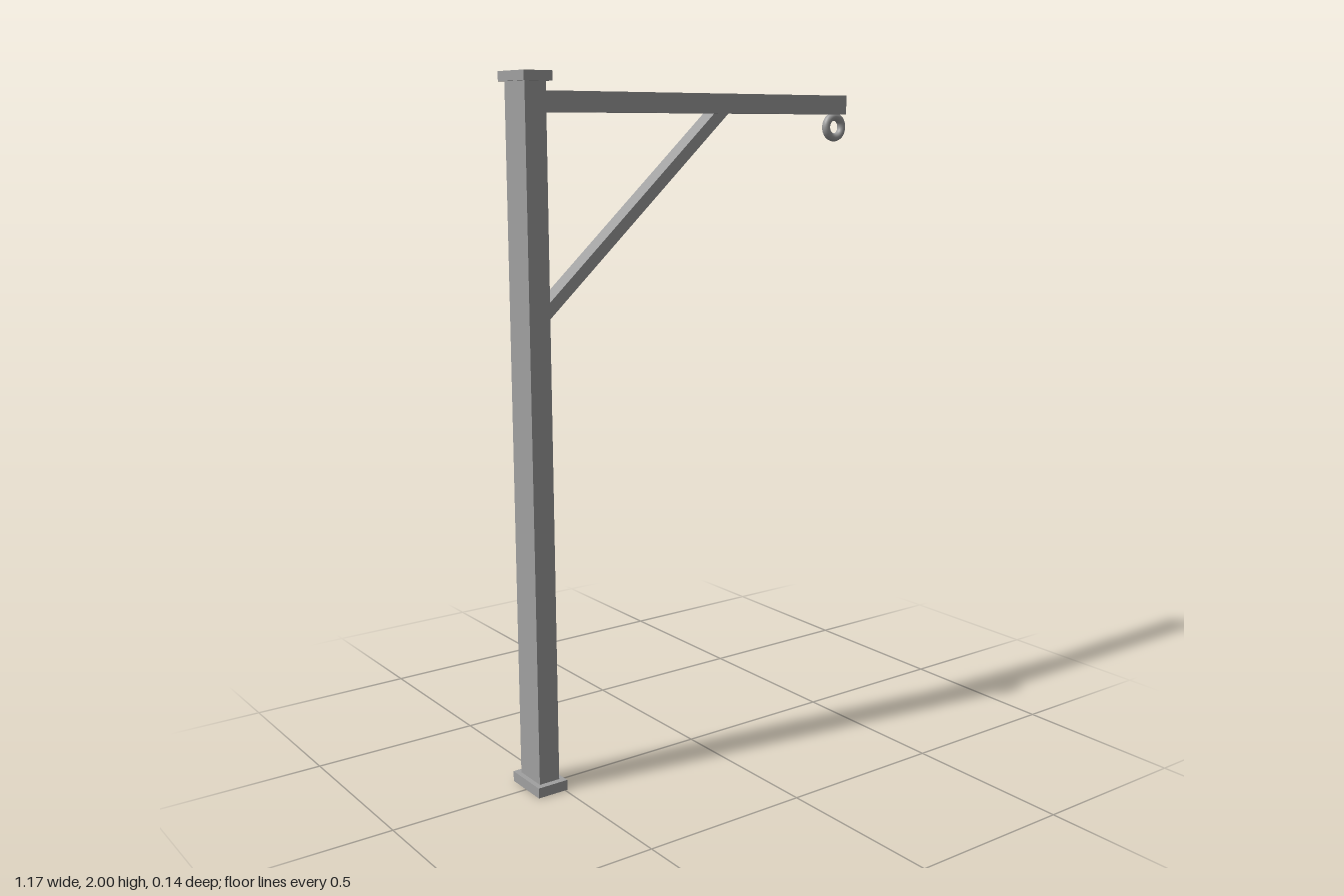
import * as THREE from 'three';

export function createModel() {
  const model = new THREE.Group();
  const grey = new THREE.MeshStandardMaterial({ color: 0xa0a0a0 });
  grey.name = 'grey';

  const add = (name, geometry, x, y, z = 0) => {
    const mesh = new THREE.Mesh(geometry, grey);
    mesh.name = name;
    mesh.position.set(x, y, z);
    model.add(mesh);
    return mesh;
  };
  // Box given by its centre x, bottom, top, width and depth
  const block = (name, x, y0, y1, w, d) =>
    add(name, new THREE.BoxGeometry(w, y1 - y0, d), x, (y0 + y1) / 2);

  // Upright post with its foot and cap
  const postX = -0.54;
  block('basePlate', postX, 0, 0.03, 0.094, 0.142);
  block('post', postX, 0.03, 1.974, 0.064, 0.104);
  block('cap', postX, 1.974, 2, 0.086, 0.134);

  // Horizontal arm
  block('arm', 0.0235, 1.895, 1.95, 1.063, 0.083);

  // Diagonal brace, its ends sunk into the post and the arm
  const brace = new THREE.Shape([
    [-0.505, 1.336], [0.114, 1.895], [0.125, 1.905], [0.074, 1.905], [-0.527, 1.361],
  ].map(([x, y]) => new THREE.Vector2(x, y)));
  add('brace', new THREE.ExtrudeGeometry(brace, { depth: 0.053, bevelEnabled: false }), 0, 0, -0.0265);

  // Hanging ring under the arm tip
  add('ring', new THREE.TorusGeometry(0.031, 0.0125, 12, 32), 0.543, 1.857);

  return model;
}
